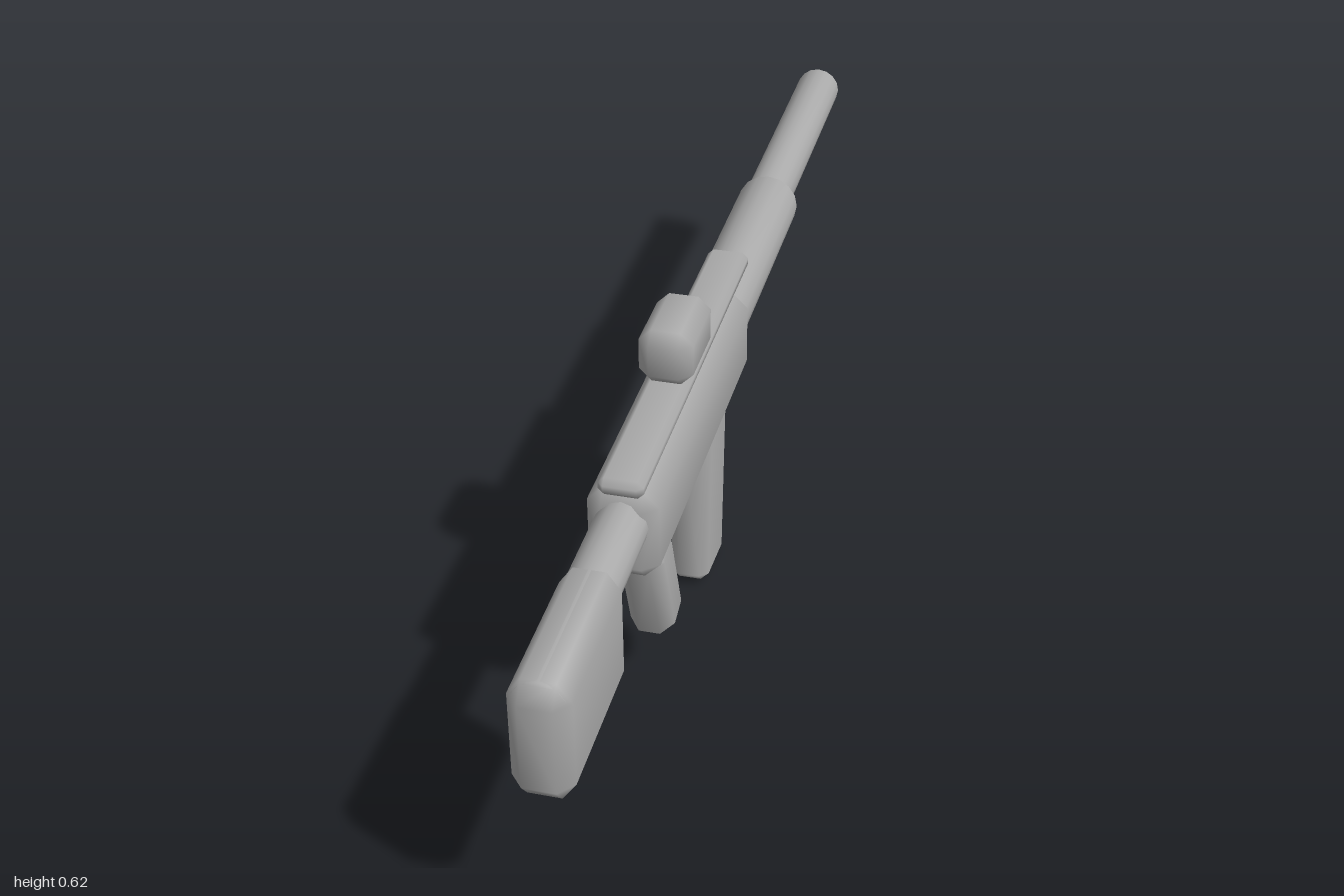
import * as THREE from 'three';
import { mergeVertices } from 'three/addons/utils/BufferGeometryUtils.js';
import { ConvexGeometry } from 'three/addons/geometries/ConvexGeometry.js';

// Share vertices so the bevels shade softly
function soften(geometry) {
  geometry.deleteAttribute('normal');
  geometry.deleteAttribute('uv');
  const merged = mergeVertices(geometry, 1e-4);
  merged.computeVertexNormals();
  return merged;
}

// Box with one bevel step on every edge; sizes and bevels are [x, y, z]
function bevelBox(size, bevel) {
  const points = [];
  for (const sx of [-1, 1]) for (const sy of [-1, 1]) for (const sz of [-1, 1]) {
    const signs = [sx, sy, sz];
    for (let face = 0; face < 3; face++) {
      const p = signs.map((s, i) => s * (size[i] / 2 - (i === face ? 0 : bevel[i])));
      points.push(new THREE.Vector3(...p));
    }
  }
  return soften(new ConvexGeometry(points));
}

// Cylinder along z between two depths
function tubeAlongZ(radius, zMin, zMax) {
  const g = new THREE.CylinderGeometry(radius, radius, zMax - zMin, 16);
  g.rotateX(Math.PI / 2);
  g.translate(0, 0, (zMin + zMax) / 2);
  return soften(g);
}

export function createModel() {
  const group = new THREE.Group();
  const grey = new THREE.MeshStandardMaterial({ color: 0xaaaaaa });
  grey.name = 'plain grey';

  function add(name, geometry, y, z = 0, tilt = 0) {
    const mesh = new THREE.Mesh(geometry, grey);
    mesh.name = name;
    mesh.position.set(0, y, z);
    mesh.rotation.x = tilt;
    group.add(mesh);
  }

  // Main body and rear stock
  add('receiver', bevelBox([0.116, 0.16, 0.65], [0.026, 0.026, 0.022]), 0.42, 0.24);
  add('stock', bevelBox([0.096, 0.215, 0.3], [0.022, 0.032, 0.025]), 0.378, 0.85);
  add('stockTube', tubeAlongZ(0.043, 0.5, 0.98), 0.443);

  // Front tubes
  add('handguard', tubeAlongZ(0.057, -0.5, 0.05), 0.446);
  add('barrel', tubeAlongZ(0.043, -1, -0.4), 0.458);

  // Top rail and sight
  add('rail', bevelBox([0.073, 0.031, 0.735], [0.01, 0.01, 0.01]), 0.512, 0.197);
  add('sight', bevelBox([0.091, 0.096, 0.16], [0.021, 0.021, 0.021]), 0.576, 0.22);

  // Parts hanging below the body
  add('grip', bevelBox([0.077, 0.235, 0.096], [0.02, 0.025, 0.025]), 0.213, 0.395, 0.335);
  add('magazine', bevelBox([0.069, 0.36, 0.131], [0.015, 0.015, 0.015]), 0.185, 0.064, -0.087);

  return group;
}
